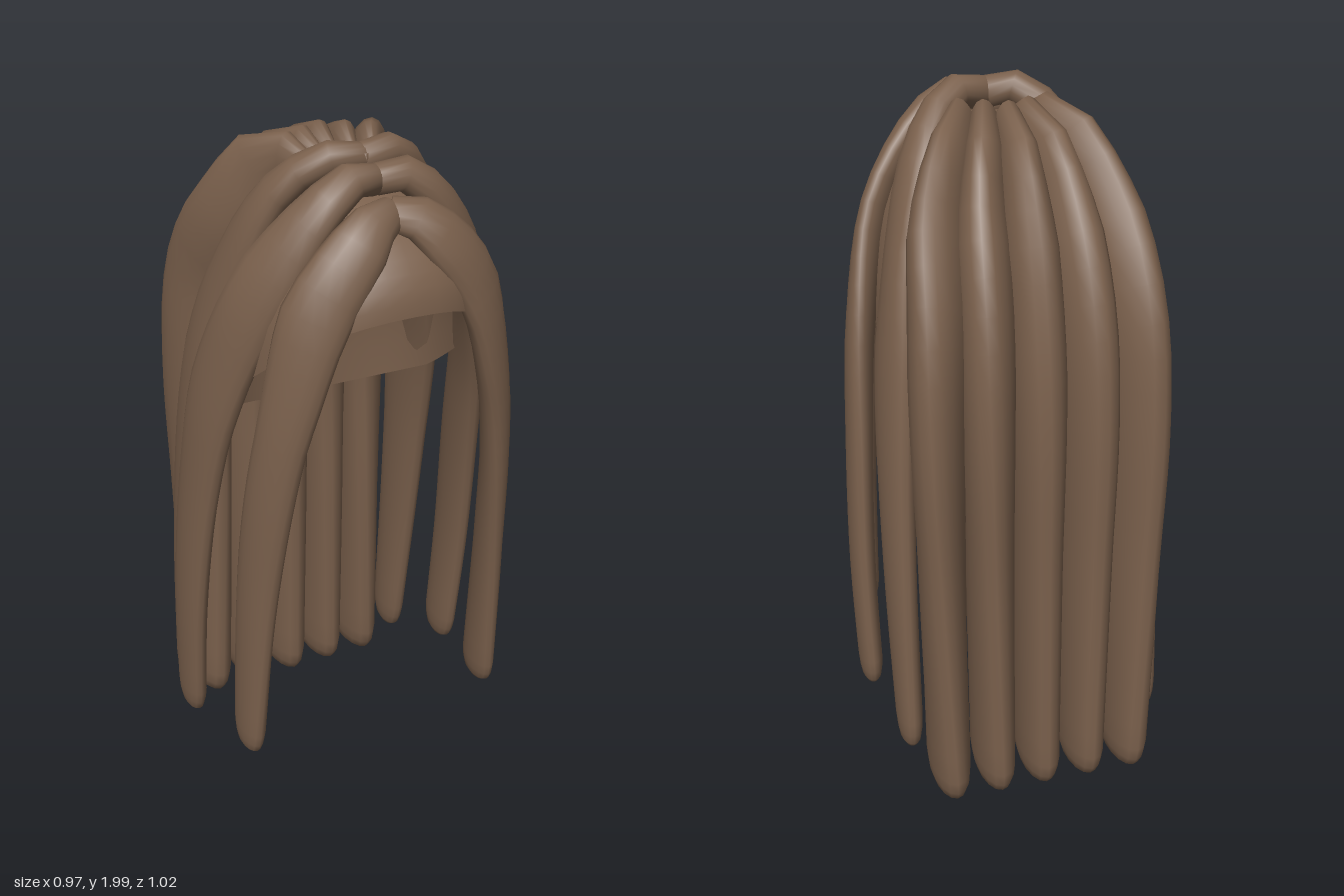
import * as THREE from 'three';

const V = (p) => new THREE.Vector3(...p);
const lerp = THREE.MathUtils.lerp;

// Lock of hair: an elliptical section swept along a path, lying flat on the head.
// normalAt(point, t): direction away from the head; sizes: [t, half width, half thickness]
function lockGeometry(points, normalAt, sizes, sides = 16, steps = 24) {
  const curve = new THREE.CatmullRomCurve3(points.map(V));
  const radiiAt = (t) => {
    let i = 1;
    while (i < sizes.length - 1 && t > sizes[i][0]) i++;
    const a = sizes[i - 1], b = sizes[i];
    const k = (t - a[0]) / (b[0] - a[0]);
    return [lerp(a[1], b[1], k), lerp(a[2], b[2], k)];
  };
  // even rings, then a quick rounding at the tip
  const rings = [];
  for (let i = 0; i <= steps; i++) rings.push([0.955 * i / steps, 1]);
  rings.push([0.975, 0.94], [0.991, 0.8], [1, 0.55]);
  const pos = [], idx = [];
  for (const [t, scale] of rings) {
    const p = curve.getPointAt(t), T = curve.getTangentAt(t);
    const B = normalAt(p, t).cross(T).normalize();
    const N = new THREE.Vector3().crossVectors(T, B);
    const [ra, rb] = radiiAt(t);
    for (let j = 0; j < sides; j++) {
      const a = j / sides * Math.PI * 2;
      const q = p.clone().addScaledVector(B, Math.cos(a) * ra * scale)
        .addScaledVector(N, Math.sin(a) * rb * scale);
      pos.push(q.x, q.y, q.z);
    }
  }
  const last = rings.length - 1;
  for (let i = 0; i < last; i++) for (let j = 0; j < sides; j++) {
    const a = i * sides + j, b = i * sides + (j + 1) % sides;
    idx.push(a, b, a + sides, b, b + sides, a + sides);
  }
  // closed ends
  const s = curve.getPointAt(0), e = curve.getPointAt(1);
  const c = pos.length / 3;
  pos.push(s.x, s.y, s.z, e.x, e.y, e.z);
  for (let j = 0; j < sides; j++) {
    const k = (j + 1) % sides;
    idx.push(c, k, j, c + 1, last * sides + j, last * sides + k);
  }
  return build(pos, idx);
}

function build(pos, idx) {
  const g = new THREE.BufferGeometry();
  g.setAttribute('position', new THREE.Float32BufferAttribute(pos, 3));
  g.setIndex(idx);
  g.computeVertexNormals();
  return g;
}

// Open dome whose rim slopes from a high front to a low back
function capGeometry(around = 40, down = 12) {
  const pos = [0, 1.89, 0.1], idx = [];
  const bulge = (v) => Math.sign(v) * Math.pow(Math.abs(v), 0.87);
  for (let i = 1; i <= down; i++) {
    const a = i / down * Math.PI / 2;
    for (let j = 0; j < around; j++) {
      const f = j / around * Math.PI * 2;
      const x = 0.35 * bulge(Math.sin(f));
      const z = (Math.cos(f) > 0 ? 0.41 : 0.29) * bulge(Math.cos(f));
      const rimZ = z + 0.1;
      const rimY = 1.21 + rimZ * (rimZ > 0 ? 0.81 : 0.55);
      pos.push(x * Math.sin(a), rimY + (1.89 - rimY) * Math.cos(a), 0.1 + z * Math.sin(a));
    }
  }
  for (let j = 0; j < around; j++) {
    const k = (j + 1) % around;
    idx.push(0, 1 + j, 1 + k);
    for (let i = 0; i < down - 1; i++) {
      const a = 1 + i * around + j, b = 1 + i * around + k;
      idx.push(a, a + around, b, b, a + around, b + around);
    }
  }
  return build(pos, idx);
}

export function createModel() {
  const group = new THREE.Group();
  const hair = new THREE.MeshStandardMaterial({ color: 0x7a604c, side: THREE.DoubleSide });
  hair.name = 'brown hair';
  const add = (name, geometry) => {
    const mesh = new THREE.Mesh(geometry, hair);
    mesh.name = name;
    group.add(mesh);
  };

  add('scalpCap', capGeometry());

  // Three mirrored pairs parted along the middle; tilt is the height where a lock starts to lie back
  const pairs = {
    frontLock: {
      tilt: 1.64,
      path: [[0, 1.845, 0.37], [0.05, 1.84, 0.395], [0.13, 1.77, 0.424], [0.225, 1.64, 0.424],
        [0.295, 1.4, 0.41], [0.34, 1.15, 0.38], [0.37, 0.8, 0.335], [0.39, 0.25, 0.29]],
      sizes: [[0, 0.045, 0.035], [0.09, 0.08, 0.042], [0.2, 0.092, 0.043], [0.4, 0.076, 0.043],
        [0.6, 0.077, 0.04], [1, 0.074, 0.035]],
    },
    sideLock: {
      tilt: 1.6,
      path: [[0, 1.905, 0.28], [0.06, 1.92, 0.295], [0.13, 1.88, 0.3], [0.22, 1.78, 0.28],
        [0.315, 1.61, 0.23], [0.39, 1.33, 0.13], [0.425, 1, 0.055], [0.445, 0.6, 0], [0.443, 0.18, -0.045]],
      sizes: [[0, 0.04, 0.042], [0.08, 0.06, 0.043], [0.2, 0.09, 0.043], [0.4, 0.102, 0.043],
        [0.6, 0.094, 0.04], [1, 0.074, 0.035]],
    },
    rearSideLock: {
      tilt: 1.52,
      path: [[0, 1.935, 0.2], [0.06, 1.95, 0.2], [0.13, 1.92, 0.165], [0.2, 1.835, 0.1],
        [0.275, 1.62, 0], [0.33, 1.35, -0.095], [0.355, 1.1, -0.15], [0.37, 0.65, -0.215], [0.37, 0.1, -0.275]],
      sizes: [[0, 0.04, 0.045], [0.08, 0.052, 0.047], [0.2, 0.088, 0.05], [0.4, 0.115, 0.05],
        [0.6, 0.095, 0.045], [1, 0.074, 0.037]],
    },
  };
  for (const [name, { tilt, path, sizes }] of Object.entries(pairs)) {
    const endZ = path[path.length - 1][2];
    const normalAt = (p, t) => new THREE.Vector3(p.x, Math.max(0, p.y - tilt), p.z - lerp(0.1, endZ, t));
    for (const [label, side] of [['Left', 1], ['Right', -1]]) {
      const points = path.map(([x, y, z]) => [x * side, y, z]);
      add(name + label, lockGeometry(points, normalAt, sizes));
    }
  }

  // Five deep locks fanning from the crown down the back: [spread, y, z]
  const backPath = [[0.3, 1.87, 0.03], [0.47, 1.885, -0.08], [0.76, 1.715, -0.2], [0.9, 1.5, -0.28],
    [0.97, 1.2, -0.33], [0.98, 0.7, -0.345], [0.98, 0, -0.37]];
  const backSizes = [[0, 0.028, 0.06], [0.07, 0.052, 0.108], [0.2, 0.076, 0.135],
    [0.35, 0.078, 0.142], [0.6, 0.068, 0.142], [1, 0.06, 0.145]];
  const backNormal = (p, t) => new THREE.Vector3(p.x * (1 - t), Math.max(0, p.y - 1.45), p.z - 0.1);
  for (let i = -2; i <= 2; i++) {
    const points = backPath.map(([f, y, z], n) => [0.14 * i * f, y, z + (n < 3 ? 0.025 * Math.abs(i) : 0)]);
    add('backLock' + (i + 3), lockGeometry(points, backNormal, backSizes));
  }
  return group;
}
